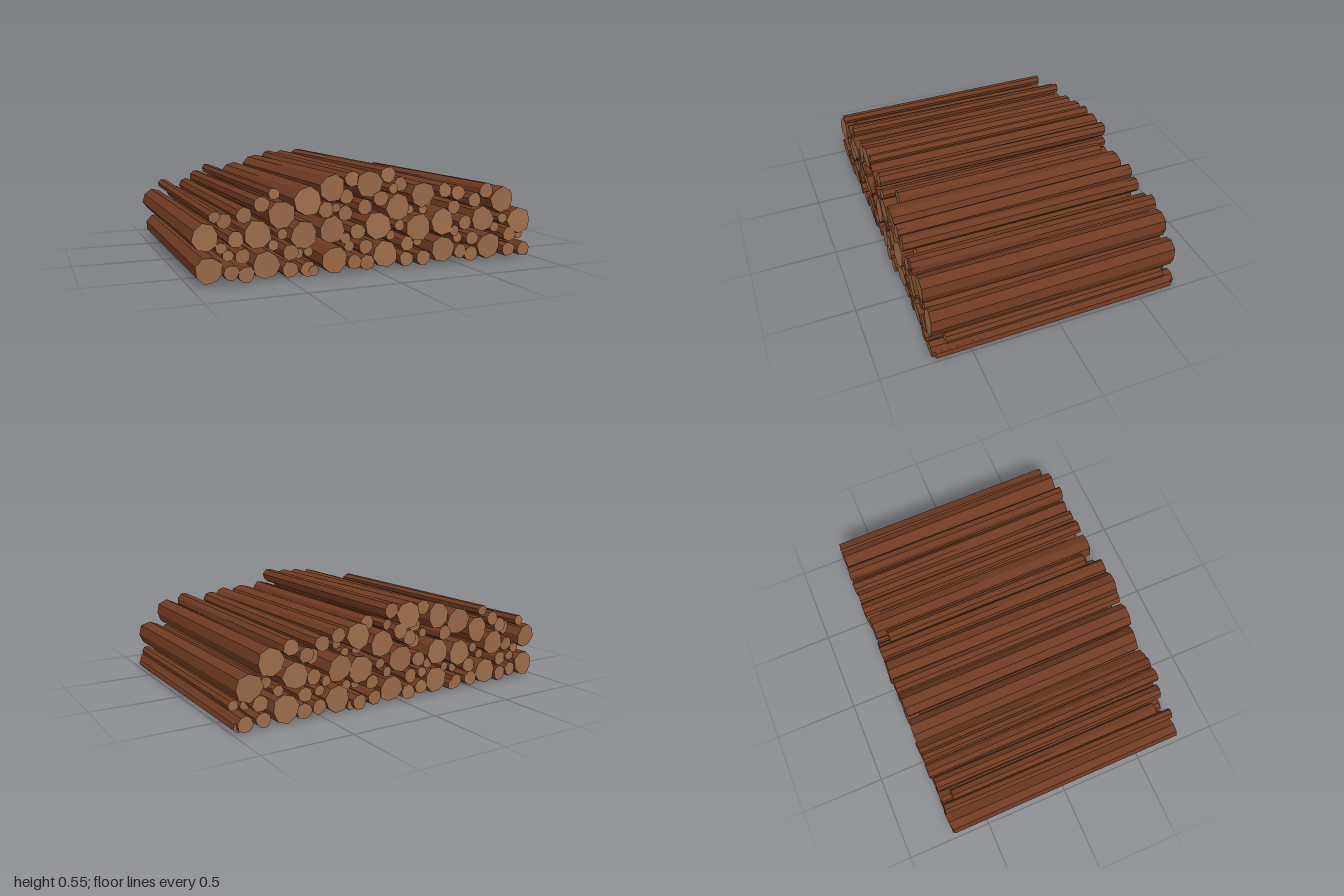
import * as THREE from 'three';

// Log centres as x, y pairs, grouped by thickness
const THICK = [
  -0.91, 0.08, -0.61, 0.08, -0.24, 0.08, 0.06, 0.08, 0.41, 0.08, 0.71, 0.08,
  -0.925, 0.245, -0.66, 0.24, -0.41, 0.215, -0.25, 0.24, 0.01, 0.24, 0.26, 0.215,
  0.40, 0.24, 0.66, 0.24, 0.91, 0.215, -0.53, 0.335, -0.39, 0.395, -0.25, 0.45,
  -0.04, 0.47, 0.13, 0.335, 0.28, 0.395, 0.79, 0.335,
];
const MEDIUM = [
  -0.80, 0.06, -0.72, 0.045, -0.49, 0.05, -0.39, 0.045, -0.13, 0.06, -0.05, 0.045,
  0.18, 0.05, 0.28, 0.045, 0.52, 0.06, 0.60, 0.045, 0.84, 0.05, 0.94, 0.045,
  -0.73, 0.135, -0.48, 0.135, -0.06, 0.135, 0.19, 0.135, 0.60, 0.135, 0.85, 0.135,
  -0.77, 0.22, -0.11, 0.22, 0.55, 0.22, -0.72, 0.34, -0.64, 0.39, -0.06, 0.345,
  -0.14, 0.50, 0.07, 0.51, 0.02, 0.39, 0.41, 0.415, 0.50, 0.39, 0.60, 0.345,
  0.68, 0.395, -0.29, 0.345,
];
const MEDIUM_SHORT = [-0.81, 0.305, -0.14, 0.305, 0.52, 0.305, -0.14, 0.395, 0.18, 0.445];
const THIN = [
  -0.81, 0.14, -0.15, 0.14, 0.51, 0.14, -0.84, 0.185, -0.18, 0.185, 0.48, 0.185,
  -0.52, 0.23, 0.14, 0.23, 0.81, 0.23, -0.57, 0.44, -0.87, 0.345, 0.10, 0.435,
  -0.36, 0.03, 0.31, 0.03, 0.965, 0.03, -0.57, 0.18, 0.09, 0.18, 0.75, 0.18,
];
const THIN_SHORT = [
  -0.36, 0.12, 0.30, 0.12, 0.965, 0.12, -0.42, 0.11, 0.24, 0.11, 0.90, 0.11,
  -0.20, 0.34, 0.24, 0.30, 0.32, 0.30, 0.36, 0.345, -0.31, 0.395,
];

function seeded(seed) {
  return () => {
    seed = (seed * 16807) % 2147483647;
    return seed / 2147483647;
  };
}

// Rough faceted log along z with slightly uneven section, bend and sawn ends
function logGeometry(radius, halfLength, sides, rand) {
  const geo = new THREE.CylinderGeometry(radius, radius, halfLength * 2, sides, 2);
  geo.rotateX(Math.PI / 2);
  geo.rotateZ(rand() * Math.PI);
  const phase = rand() * 6, bendX = (rand() - 0.5) * 0.01, bendY = (rand() - 0.5) * 0.008;
  const tiltX = (rand() - 0.5) * 0.2, tiltY = (rand() - 0.5) * 0.2;
  const pos = geo.attributes.position;
  for (let i = 0; i < pos.count; i++) {
    const x = pos.getX(i), y = pos.getY(i), z = pos.getZ(i);
    const a = Math.atan2(y, x), t = z / halfLength;
    const s = 1 + 0.05 * Math.sin(3 * a + phase) + 0.025 * Math.sin(2 * a + phase + t);
    pos.setXYZ(i, x * s + bendX * t, y * s + bendY * t, z + (tiltX * x + tiltY * y) * Math.abs(t));
  }
  geo.computeVertexNormals();
  return geo;
}

export function createModel() {
  const bark = new THREE.MeshStandardMaterial({ color: 0x6f3a22 });
  const cutWood = new THREE.MeshStandardMaterial({ color: 0x9c6b4a });
  bark.flatShading = cutWood.flatShading = true;
  bark.name = 'bark';
  cutWood.name = 'cutWood';

  const pile = new THREE.Group();
  pile.name = 'logPile';
  const rand = seeded(4217);

  function addLogs(name, centres, radius, halfLength, sides) {
    const group = new THREE.Group();
    group.name = name;
    for (let i = 0; i < centres.length; i += 2) {
      const r = radius * (0.96 + rand() * 0.08);
      const half = halfLength + (rand() - 0.5) * 0.015;
      const log = new THREE.Mesh(logGeometry(r, half, sides, rand), [bark, cutWood, cutWood]);
      log.name = 'log';
      log.position.set(centres[i], Math.max(centres[i + 1], r), 0);
      group.add(log);
    }
    pile.add(group);
  }

  addLogs('thickLogs', THICK, 0.073, 0.71, 8);
  addLogs('mediumLogs', MEDIUM, 0.042, 0.71, 8);
  addLogs('shortMediumLogs', MEDIUM_SHORT, 0.042, 0.635, 8);
  addLogs('thinLogs', THIN, 0.03, 0.7, 7);
  addLogs('shortThinLogs', THIN_SHORT, 0.028, 0.63, 7);
  return pile;
}
